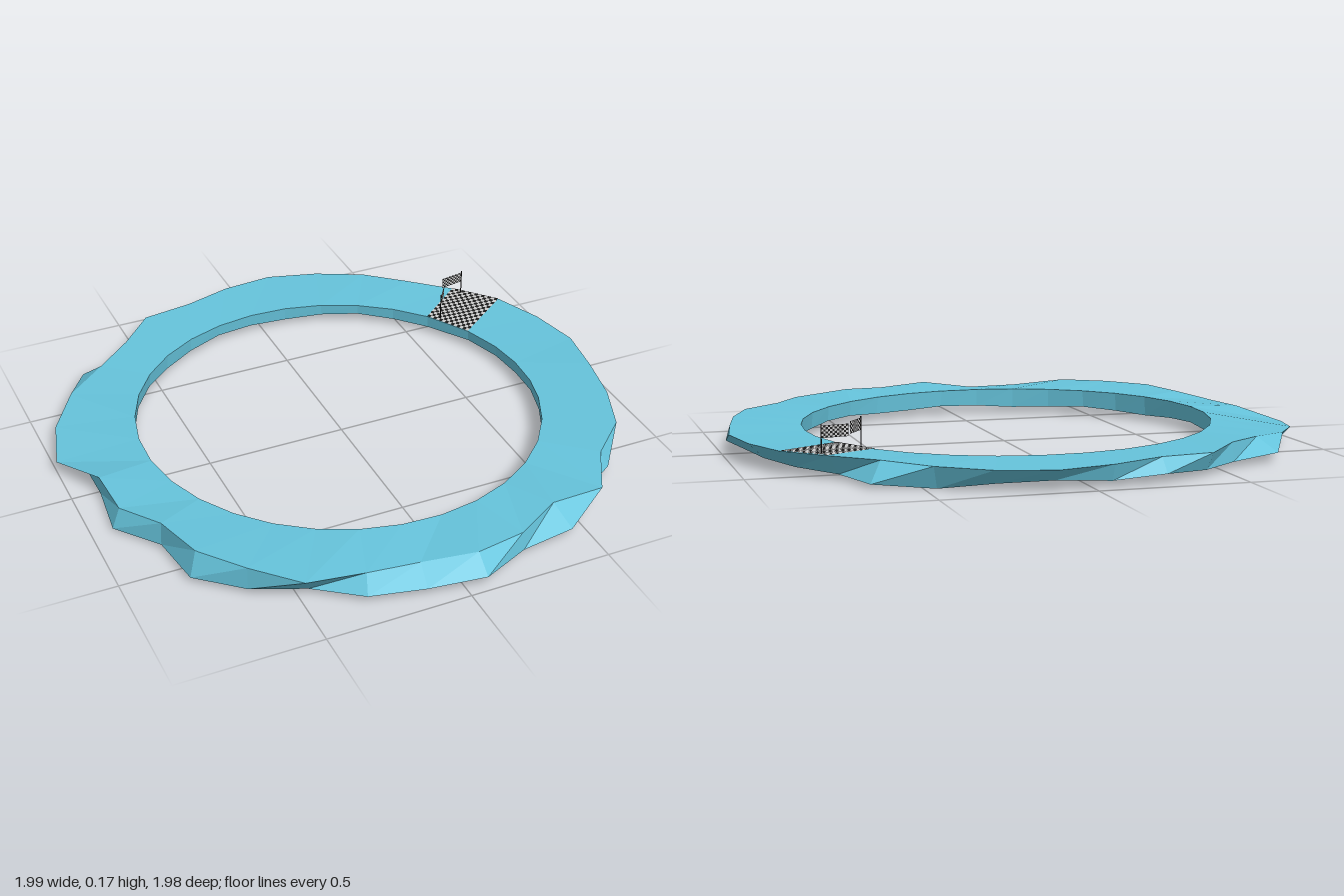
import * as THREE from 'three';

const N = 32;
const CENTER_Z = -0.025;

// Outer rim, one value per segment: radius and height of its top and bottom edges
const topR = [.99, .965, .97, .98, .94, 1, .915, .94, .95, .905, .93, 1, .97, .955, .9, .93,
  .91, 1.01, 1, .97, .915, .905, .96, .92, .95, .98, .97, .955, .93, .945, .98, .985];
const topY = [.08, .085, .085, .085, .085, .08, .1, .09, .1, .08, .085, .1, .105, .105, .1, .08,
  .085, .05, .06, .07, .08, .085, .08, .08, .075, .07, .07, .075, .08, .08, .078, .078];
const botR = [.94, .98, .93, .93, .97, .93, .995, .95, 1.01, .98, .975, .93, .97, .99, .905, .96,
  .91, .92, .93, .93, .99, .91, .93, .95, .93, .93, .92, .92, .995, .9, .92, .93];
const botY = [.03, .03, .025, .02, .03, .02, .03, .025, .04, .03, .025, .02, .02, .02, .015, .01,
  .02, .025, .02, .02, .03, .02, .02, .03, .02, .03, .02, 0, .015, .015, .02, .025];
// Small angular shifts of the inner edge, in degrees
const innerShift = { 30: 3.5, 31: 4, 0: 3, 1: 2 };

const blue = new THREE.MeshStandardMaterial({ color: 0x66c4dc, flatShading: true });
const dark = new THREE.MeshStandardMaterial({ color: 0x1c1c1c, side: THREE.DoubleSide });
const light = new THREE.MeshStandardMaterial({ color: 0xe4e4e4, side: THREE.DoubleSide });

function polar(deg, r, y) {
  const a = THREE.MathUtils.degToRad(deg);
  return new THREE.Vector3(r * Math.cos(a), y, r * Math.sin(a) + CENTER_Z);
}

// Cross-section k: inner top, outer top, outer bottom, inner bottom
function section(k) {
  const deg = -3.75 + (k * 360) / N;
  const inner = deg + (innerShift[k] ?? 0);
  const wave = Math.cos(THREE.MathUtils.degToRad(deg - 130));
  return [
    polar(inner, 0.72, 0.083 + 0.012 * wave),
    polar(deg, topR[k], topY[k]),
    polar(deg, botR[k], botY[k]),
    polar(inner, 0.725, 0.027 + 0.005 * Math.sin(k * 1.7)),
  ];
}

function addQuad(out, a, b, c, d) {
  for (const p of [a, b, c, a, c, d]) out.push(p.x, p.y, p.z);
}

function toMesh(positions, material, name) {
  const geo = new THREE.BufferGeometry();
  geo.setAttribute('position', new THREE.Float32BufferAttribute(positions, 3));
  geo.computeVertexNormals();
  const mesh = new THREE.Mesh(geo, material);
  mesh.name = name;
  return mesh;
}

// Checkered four-cornered sheet, split into dark and light squares
function checkered(a, b, c, d, nu, nv, name) {
  const at = (u, v) => a.clone().lerp(b, u / nu).lerp(d.clone().lerp(c, u / nu), v / nv);
  const cells = [[], []];
  for (let u = 0; u < nu; u++) {
    for (let v = 0; v < nv; v++) {
      addQuad(cells[(u + v) % 2], at(u, v), at(u + 1, v), at(u + 1, v + 1), at(u, v + 1));
    }
  }
  const group = new THREE.Group();
  group.name = name;
  group.add(toMesh(cells[0], dark, name + 'DarkSquares'), toMesh(cells[1], light, name + 'LightSquares'));
  return group;
}

// Thin pole with a small checkered flag reaching from (x, z) to (fx, fz)
function flag(name, x, z, fx, fz) {
  const group = new THREE.Group();
  group.name = name;
  const pole = new THREE.Mesh(new THREE.CylinderGeometry(0.002, 0.002, 0.105, 8), dark);
  pole.name = 'flagPole';
  pole.position.set(x, 0.1225, z);
  const p = (px, y, pz) => new THREE.Vector3(px, y, pz);
  group.add(pole, checkered(p(x, 0.13, z), p(fx, 0.13, fz), p(fx, 0.17, fz), p(x, 0.17, z), 12, 6, 'flagCloth'));
  return group;
}

export function createModel() {
  const model = new THREE.Group();
  model.name = 'raceTrack';

  // Rugged ring lofted through the closed cross-sections
  const sections = Array.from({ length: N }, (_, k) => section(k));
  const ring = [];
  for (let k = 0; k < N; k++) {
    const s = sections[k], t = sections[(k + 1) % N];
    for (let j = 0; j < 4; j++) {
      const i = (j + 1) % 4;
      addQuad(ring, s[j], t[j], t[i], s[i]);
    }
  }
  model.add(toMesh(ring, blue, 'trackRing'));

  // Finish line lying on one segment of the ring
  const lift = (v) => v.clone().setY(v.y + 0.002);
  const [s, t] = [sections[29], sections[30]];
  model.add(checkered(lift(s[0]), lift(t[0]), lift(t[1]), lift(s[1]), 14, 16, 'finishLine'));

  // Flags beside the finish line
  model.add(flag('innerFlag', 0.61, -0.43, 0.66, -0.5));
  model.add(flag('outerFlag', 0.765, -0.56, 0.675, -0.545));
  return model;
}
